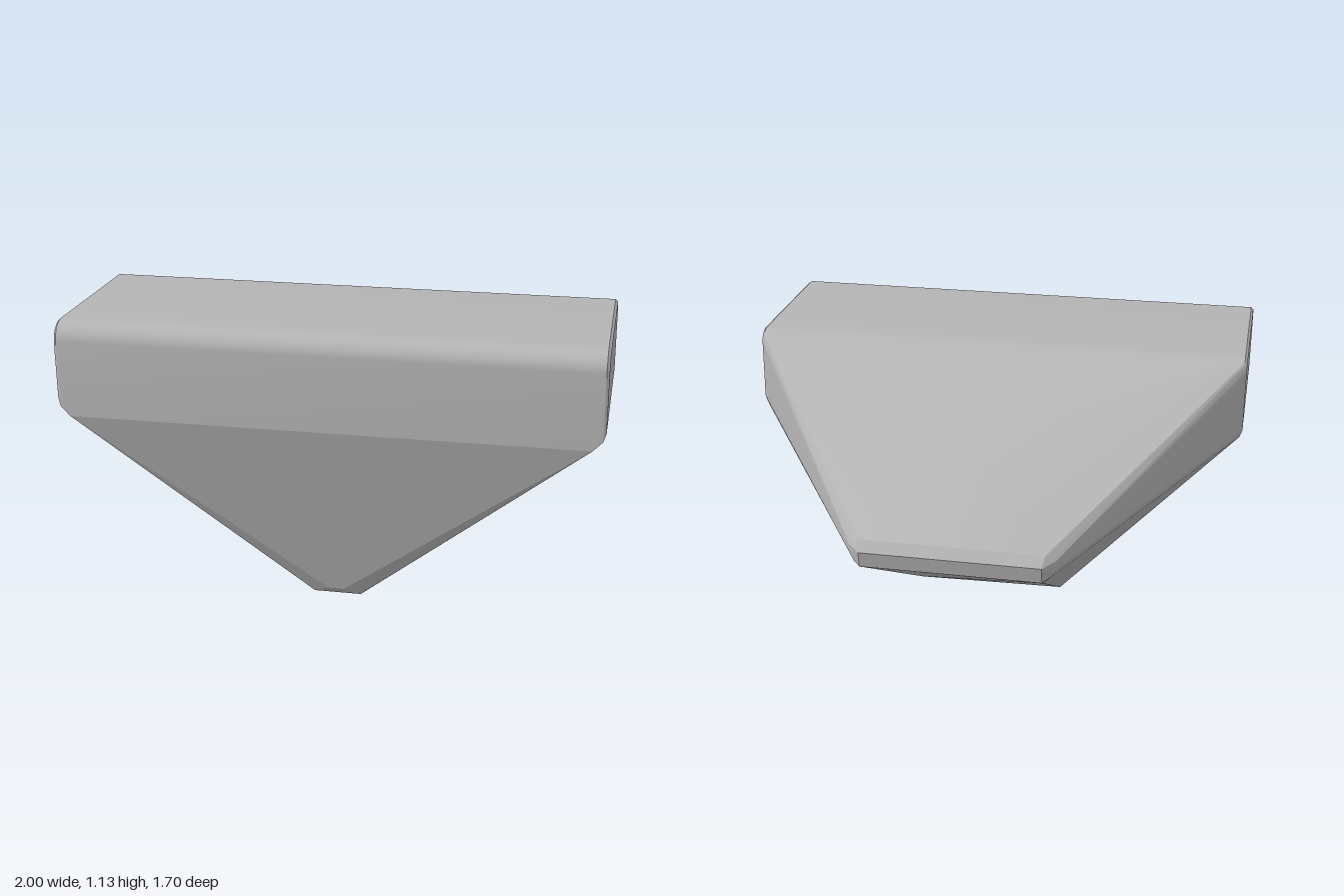
import * as THREE from 'three';
import { ConvexGeometry } from 'three/addons/geometries/ConvexGeometry.js';
import { toCreasedNormals } from 'three/addons/utils/BufferGeometryUtils.js';

const grey = new THREE.MeshStandardMaterial({ color: 0xb4b4b4 });
grey.name = 'stone grey';

export function createModel() {
  const points = [];
  const add = (x, y, z) => points.push(new THREE.Vector3(x, y, z));
  const pair = (x, y, z) => { add(x, y, z); add(-x, y, z); };

  // Rounded corner running across the block, as an arc in the z-y plane
  const arc = (x, cy, cz, r, from, to, steps = 7) => {
    for (let i = 0; i <= steps; i++) {
      const a = from + (to - from) * i / steps;
      pair(x, cy + r * Math.sin(a), cz + r * Math.cos(a));
    }
  };

  // Upper block: flat ends with a slim bevel around them
  for (const [x, inset] of [[1, 0.008], [0.99, 0]]) {
    arc(x, 1.06 - inset, 0.78 - inset, 0.072, 0, Math.PI / 2);
    arc(x, 1.08 - inset, 0.16 + inset, 0.052, Math.PI / 2, Math.PI);
  }
  pair(1, 0.84, 0.84);
  pair(1, 0.84, 0.11);
  pair(0.99, 0.81, 0.845);
  pair(0.99, 0.81, 0.11);
  pair(0.97, 0.785, 0.83);
  pair(0.97, 0.785, 0.12);
  pair(0.955, 0.775, 0.848);

  // Sloping back with its shallow ridge and blunt bevelled end
  add(0, 0.92, -0.44);
  pair(0.35, 0.69, -0.82);
  pair(0.385, 0.665, -0.81);
  pair(0.385, 0.63, -0.81);
  pair(0.34, 0.65, -0.85);
  pair(0.34, 0.585, -0.835);
  pair(0.365, 0.6, -0.82);

  // Uneven lower back corners
  add(0.34, 0.32, -0.26);
  add(0.22, 0.295, -0.35);
  add(-0.33, 0.265, -0.28);
  add(-0.1, 0.23, -0.2);
  add(-0.28, 0.1, 0.27);

  // Blunt foot, rounded towards the front
  pair(0.08, 0, 0.4);
  pair(0.08, 0, 0.56);
  add(0.15, 0.04, 0.45);
  pair(0.09, 0.03, 0.62);
  pair(0.03, 0.06, 0.648);

  const body = new THREE.Mesh(toCreasedNormals(new ConvexGeometry(points), 0.24), grey);
  body.name = 'facetedStone';

  const group = new THREE.Group();
  group.name = 'stone';
  group.add(body);
  return group;
}
